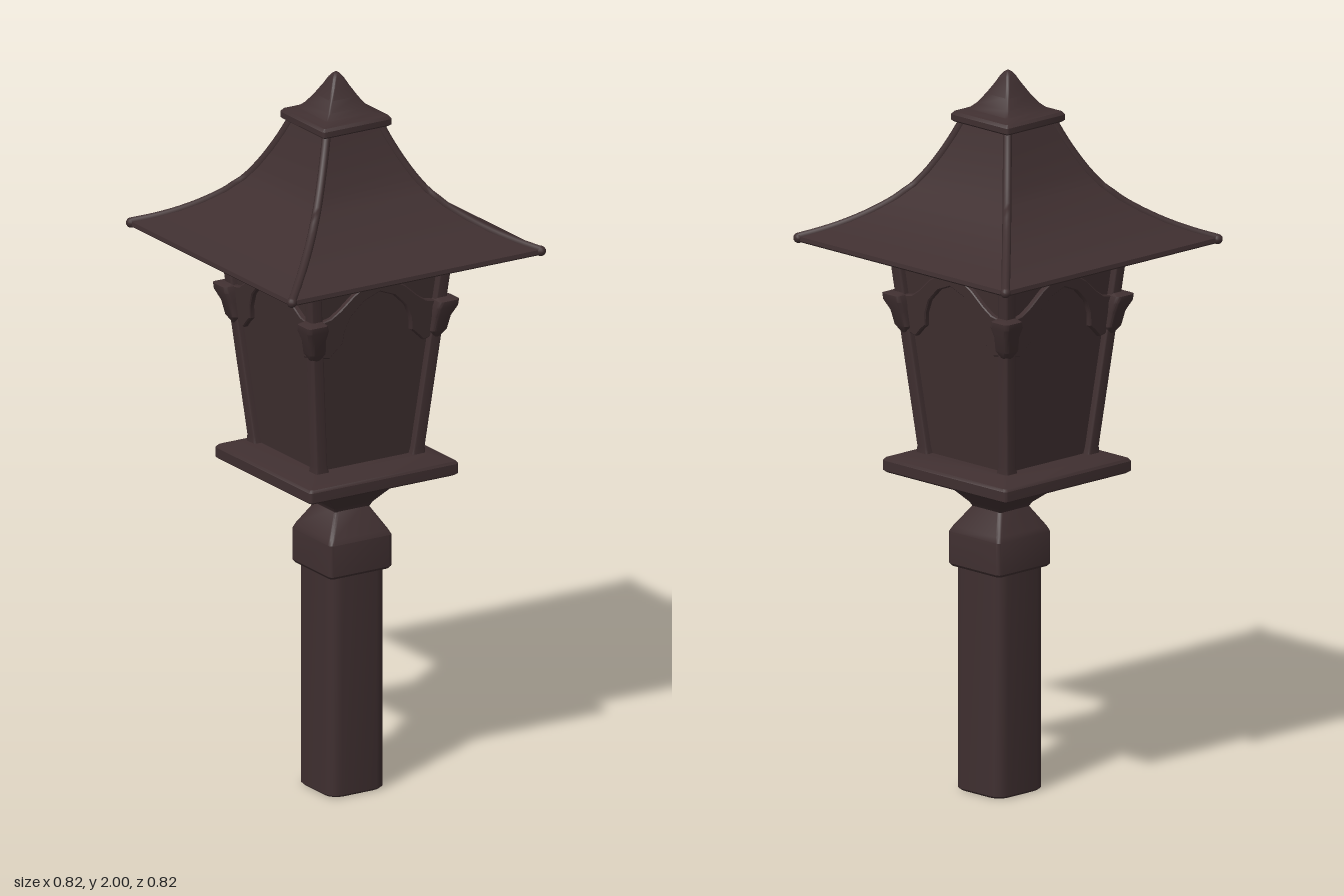
import * as THREE from 'three';
import { toCreasedNormals } from 'three/addons/utils/BufferGeometryUtils.js';

const iron = new THREE.MeshStandardMaterial({ color: 0x3f2f30 });
iron.name = 'dark iron';

// Square cross-sections [y, half width, centre x, centre z] joined upwards; r rounds the corners
function loft(sections, r = 0, steps = 4) {
  const pos = [], idx = [], n = r > 0 ? steps + 1 : 1, count = n * 4;
  for (const [y, h, cx = 0, cz = 0] of sections) {
    const rr = Math.min(r, h);
    for (let c = 0; c < 4; c++) {
      const mid = Math.PI / 4 + c * Math.PI / 2;
      const sx = Math.sign(Math.cos(mid)), sz = Math.sign(Math.sin(mid));
      for (let k = 0; k < n; k++) {
        const a = n > 1 ? (c + k / steps) * Math.PI / 2 : mid;
        const ox = n > 1 ? Math.cos(a) * rr : 0, oz = n > 1 ? Math.sin(a) * rr : 0;
        pos.push(cx + sx * (h - rr) + ox, y, cz + sz * (h - rr) + oz);
      }
    }
  }
  for (let s = 0; s < sections.length - 1; s++) {
    for (let i = 0; i < count; i++) {
      const a = s * count + i, b = s * count + (i + 1) % count;
      idx.push(a, a + count, b, b, a + count, b + count);
    }
  }
  const top = (sections.length - 1) * count;
  for (let i = 1; i < count - 1; i++) idx.push(0, i, i + 1, top, top + i + 1, top + i);
  const g = new THREE.BufferGeometry();
  g.setAttribute('position', new THREE.Float32BufferAttribute(pos, 3));
  g.setIndex(idx);
  return toCreasedNormals(g, 0.5);
}

// The lantern walls lean outwards
const wall = y => 0.168 + (y - 0.94) * 0.1;

// Pointed arch with a flared stem up to the eave, leaned to follow the wall
function archGeometry() {
  const outer = [[0.065, 1.525], [0.05, 1.49], [0.035, 1.467], [0.08, 1.44], [0.12, 1.405],
    [0.15, 1.385], [0.2, 1.375], [0.2, 1.3], [0.175, 1.28], [0.15, 1.275], [0.13, 1.295]];
  const inner = [[0.112, 1.31], [0.108, 1.345], [0.09, 1.385], [0.05, 1.423]];
  const half = [...outer, ...inner];
  const mirrored = half.map(([x, y]) => [-x, y]).reverse();
  const shape = new THREE.Shape([...half, [0, 1.443], ...mirrored].map(p => new THREE.Vector2(...p)));
  const g = new THREE.ExtrudeGeometry(shape, {
    depth: 0.014, bevelEnabled: true, bevelSize: 0.003, bevelThickness: 0.003, bevelSegments: 1,
  });
  const p = g.attributes.position;
  for (let i = 0; i < p.count; i++) p.setZ(i, p.getZ(i) + wall(p.getY(i)) - 0.018);
  g.computeVertexNormals();
  return toCreasedNormals(g, 0.5);
}

export function createModel() {
  const model = new THREE.Group();
  model.name = 'gardenLantern';
  const add = (name, geometry, parent = model) => {
    const mesh = new THREE.Mesh(geometry, iron);
    mesh.name = name;
    parent.add(mesh);
    return mesh;
  };

  // Post, collar and neck sit slightly forward of the lantern
  add('post', loft([[0, 0.083, -0.01, 0.043], [0.006, 0.089, -0.01, 0.043], [0.63, 0.089, -0.01, 0.043]], 0.035));
  add('collar', loft([[0.62, 0.094, -0.006, 0.038], [0.627, 0.099, -0.006, 0.038],
    [0.715, 0.099, -0.006, 0.038], [0.73, 0.092, -0.006, 0.037], [0.795, 0.052, -0.002, 0.03]], 0.012));
  add('neck', loft([[0.785, 0.054, -0.002, 0.03], [0.8, 0.062, 0, 0.027], [0.89, 0.15, 0, 0.006]], 0.006));

  // Tray under the lantern
  add('tray', loft([[0.885, 0.229, 0, 0.004], [0.891, 0.237, 0, 0.004], [0.918, 0.237, 0, 0.004],
    [0.925, 0.232, 0, 0.004], [0.942, 0.18]], 0.01));

  // Panes
  add('panes', loft([[0.93, wall(0.93) - 0.016], [1.53, wall(1.53) - 0.016]]));

  // Corner columns with brackets and capitals
  for (const sx of [-1, 1]) for (const sz of [-1, 1]) {
    const corner = new THREE.Group();
    corner.name = 'corner';
    model.add(corner);
    const section = (y, h, out = 0) => {
      const d = wall(y) - 0.015 + out;
      return [y, h, sx * d, sz * d];
    };
    add('column', loft([section(0.935, 0.022), section(0.96, 0.018), section(1.53, 0.018)], 0.006), corner);
    add('bracket', loft([section(1.275, 0.014, 0.004), section(1.295, 0.025, 0.004),
      section(1.335, 0.027, 0.006), section(1.365, 0.034, 0.01), section(1.382, 0.032, 0.012),
      section(1.388, 0.02, 0.006)], 0.012), corner);
    add('capital', loft([section(1.475, 0.019), section(1.5, 0.026, 0.004), section(1.53, 0.03, 0.006)], 0.006), corner);
  }

  // Arched trim on all four faces
  const arch = archGeometry();
  for (let i = 0; i < 4; i++) add('archTrim', arch).rotation.y = i * Math.PI / 2;

  // Swept roof with a small step between the lower and upper courses
  const sweep = [[1.538, 0.4], [1.556, 0.355], [1.58, 0.307], [1.61, 0.26], [1.645, 0.216], [1.675, 0.188],
    [1.679, 0.183], [1.72, 0.155], [1.77, 0.128], [1.82, 0.105], [1.87, 0.085]];
  add('roof', loft([[1.522, 0.396], [1.527, 0.402], ...sweep]));

  // Hip ridges and eave knobs
  for (const sx of [-1, 1]) for (const sz of [-1, 1]) {
    const path = new THREE.CatmullRomCurve3(sweep.map(([y, h]) => new THREE.Vector3(sx * (h - 0.003), y - 0.003, sz * (h - 0.003))));
    add('hipRidge', new THREE.TubeGeometry(path, 24, 0.012, 8));
    add('eaveKnob', new THREE.SphereGeometry(0.014, 12, 8)).position.set(sx * 0.396, 1.533, sz * 0.396);
  }

  // Cap and pointed finial
  add('cap', loft([[1.857, 0.104], [1.862, 0.11], [1.877, 0.11], [1.885, 0.104], [1.893, 0.078],
    [1.908, 0.062], [1.935, 0.044], [1.965, 0.027], [1.985, 0.017], [1.996, 0.009], [2, 0.002]], 0.008));
  return model;
}
